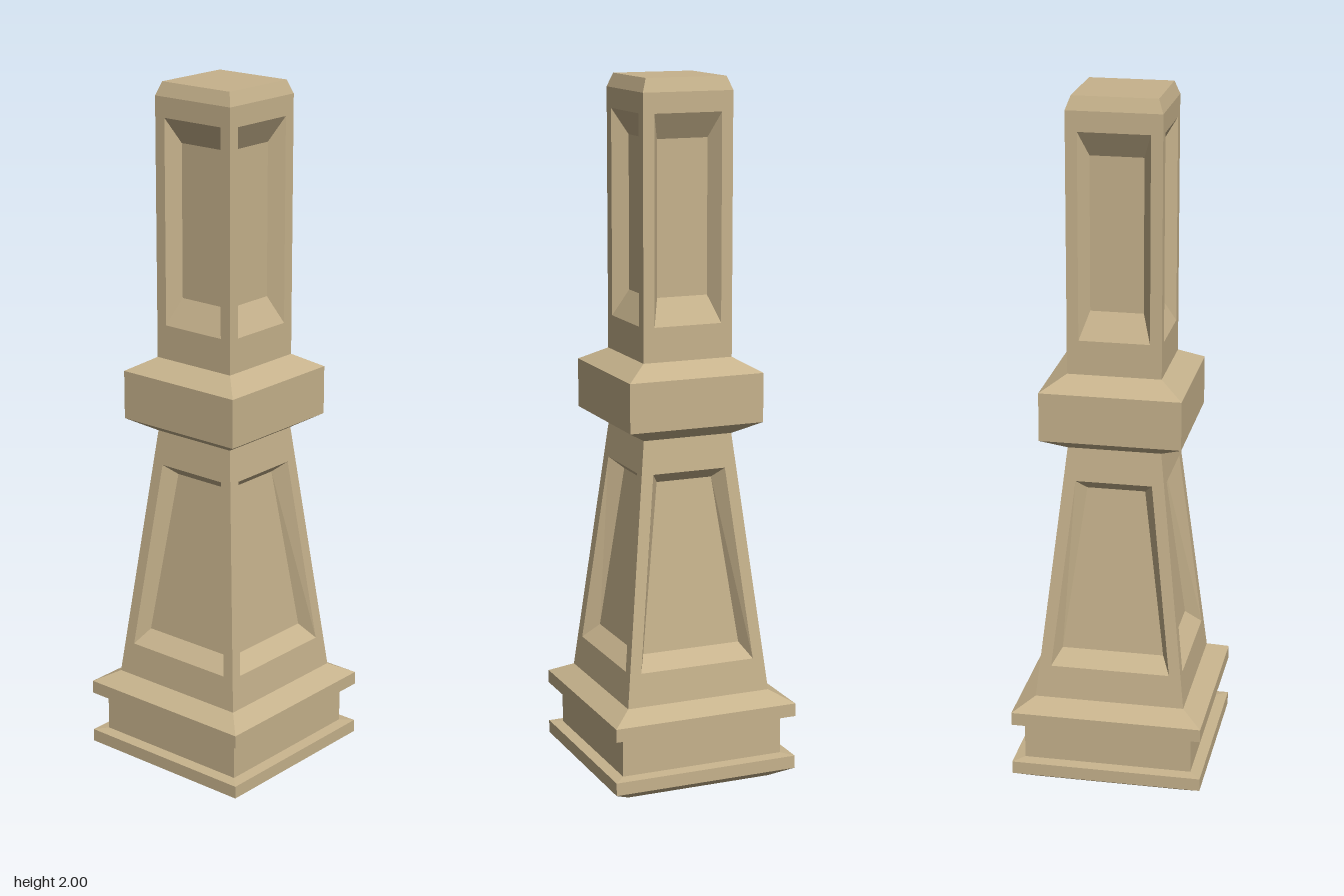
import * as THREE from 'three';

const material = new THREE.MeshStandardMaterial({ color: 0xc6b28c, flatShading: true });

// Square moulding turned from a [halfWidth, y] profile, listed bottom to top
function moulding(name, profile) {
  const points = profile.map(([w, y]) => new THREE.Vector2(w * Math.SQRT2, y));
  const geometry = new THREE.LatheGeometry(points, 4, Math.PI / 4).toNonIndexed();
  geometry.computeVertexNormals();
  const mesh = new THREE.Mesh(geometry, material);
  mesh.name = name;
  return mesh;
}

// Tapered square shaft with one recessed, bevelled panel in each side.
// Each loop is { y0, w0, y1, w1 }: bottom and top height and half width.
function panelledShaft(name, body, rim, floor, depth) {
  const faceZ = (y) => body.w0 + (body.w1 - body.w0) * (y - body.y0) / (body.y1 - body.y0);
  const corners = ({ y0, w0, y1, w1 }, inset) =>
    [[-w0, y0], [w0, y0], [w1, y1], [-w1, y1]].map(([x, y]) => new THREE.Vector3(x, y, faceZ(y) - inset));
  const loops = [corners(body, 0), corners(rim, 0), corners(floor, depth)];

  const side = [];
  const quad = (a, b, c, d) => side.push(a, b, c, a, c, d);
  for (let k = 0; k < 2; k++) {
    for (let i = 0; i < 4; i++) {
      const j = (i + 1) % 4;
      quad(loops[k][i], loops[k][j], loops[k + 1][j], loops[k + 1][i]);
    }
  }
  quad(...loops[2]);

  const geometry = new THREE.BufferGeometry().setFromPoints(side);
  geometry.computeVertexNormals();
  const group = new THREE.Group();
  group.name = name;
  for (let i = 0; i < 4; i++) {
    const mesh = new THREE.Mesh(geometry, material);
    mesh.name = name + 'Side';
    mesh.rotation.y = i * Math.PI / 2;
    group.add(mesh);
  }
  return group;
}

export function createModel() {
  const model = new THREE.Group();
  model.name = 'newelPost';

  // Stepped base
  model.add(moulding('base', [
    [0, 0], [0.217, 0], [0.275, 0.035], [0.275, 0.072], [0.243, 0.076],
    [0.243, 0.184], [0.275, 0.192], [0.275, 0.23], [0.216, 0.262],
  ]));

  // Tapered lower shaft
  model.add(panelledShaft('lowerShaft',
    { y0: 0.262, w0: 0.216, y1: 1.006, w1: 0.133 },
    { y0: 0.357, w0: 0.172, y1: 0.91, w1: 0.109 },
    { y0: 0.397, w0: 0.147, y1: 0.878, w1: 0.083 }, 0.042));

  // Collar between the shafts
  model.add(moulding('collar', [
    [0.133, 1.006], [0.2, 1.045], [0.2, 1.185], [0.133, 1.224],
  ]));

  // Straight upper shaft
  model.add(panelledShaft('upperShaft',
    { y0: 1.224, w0: 0.133, y1: 1.962, w1: 0.133 },
    { y0: 1.322, w0: 0.1, y1: 1.905, w1: 0.1 },
    { y0: 1.397, w0: 0.075, y1: 1.833, w1: 0.075 }, 0.042));

  // Chamfered top
  model.add(moulding('topCap', [[0.133, 1.962], [0.119, 2], [0, 2]]));

  return model;
}
